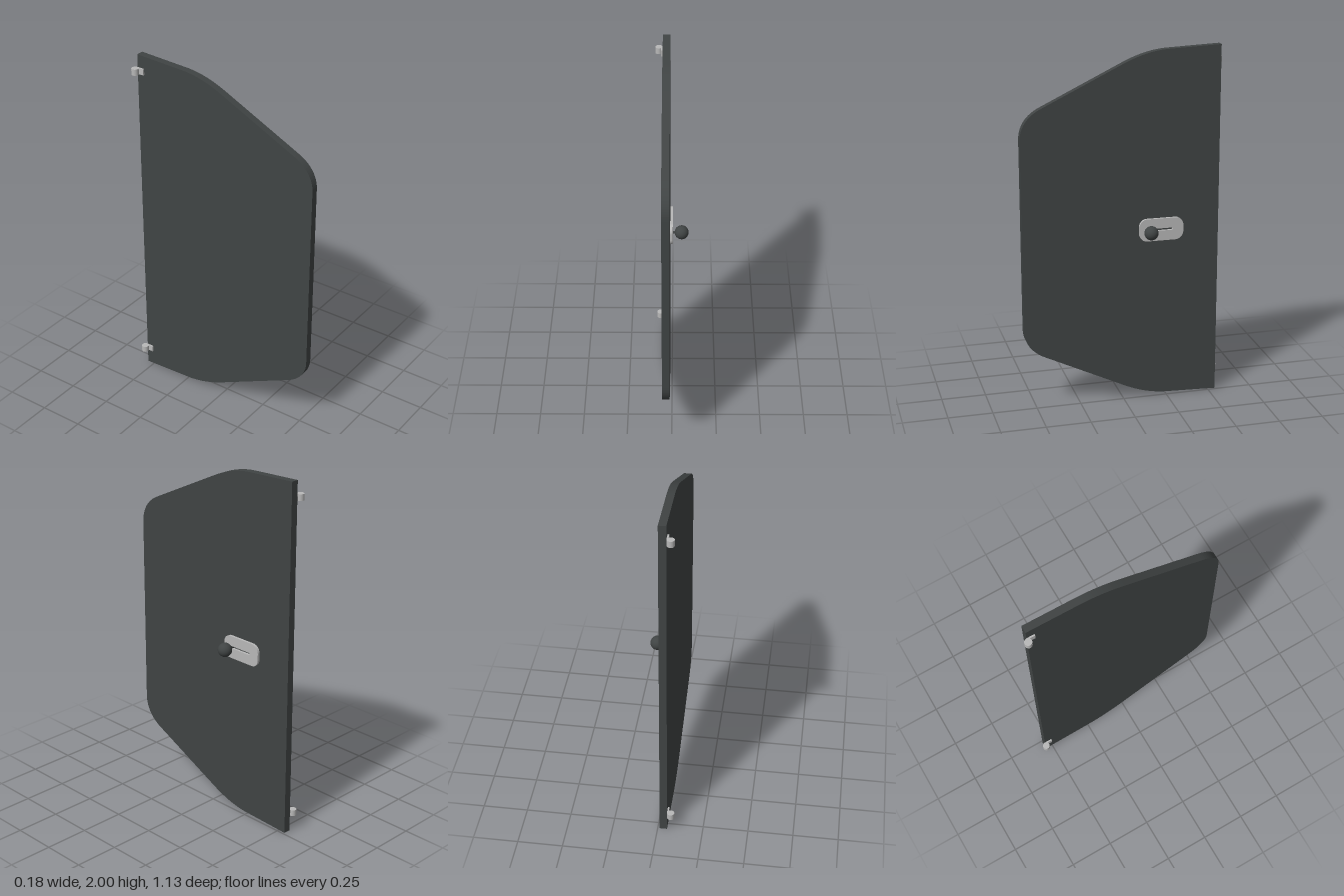
import * as THREE from 'three';

const paint = (name, color) => {
  const m = new THREE.MeshStandardMaterial({ color });
  m.name = name;
  return m;
};

// Extrudes a shape drawn in (-z, y) so that it grows along +x from x0.
function sideExtrude(name, shape, x0, depth, material) {
  const geo = new THREE.ExtrudeGeometry(shape, { depth, bevelEnabled: false, curveSegments: 16 });
  geo.rotateY(Math.PI / 2);
  geo.translate(x0, 0, 0);
  const mesh = new THREE.Mesh(geo, material);
  mesh.name = name;
  return mesh;
}

// Rounded rectangle path from (x0, y0) to (x1, y1).
function roundedRect(path, x0, y0, x1, y1, r) {
  path.absarc(x1 - r, y0 + r, r, -Math.PI / 2, 0);
  path.absarc(x1 - r, y1 - r, r, 0, Math.PI / 2);
  path.absarc(x0 + r, y1 - r, r, Math.PI / 2, Math.PI);
  path.absarc(x0 + r, y0 + r, r, Math.PI, Math.PI * 1.5);
  path.closePath();
  return path;
}

export function createModel() {
  const group = new THREE.Group();
  group.name = 'hatchDoor';
  const dark = paint('darkGrey', 0x404444);
  const metal = paint('lightMetal', 0xb8b8b8);

  // Door panel: straight hinge edge, tapered and rounded toward the front
  const door = new THREE.Shape();
  door.moveTo(0.543, 0);
  door.lineTo(0.543, 2);
  door.lineTo(0.25, 1.988);
  door.quadraticCurveTo(0.13, 1.983, 0, 1.92);
  door.lineTo(-0.45, 1.702);
  door.bezierCurveTo(-0.52, 1.668, -0.563, 1.61, -0.563, 1.535);
  door.lineTo(-0.563, 0.465);
  door.bezierCurveTo(-0.563, 0.39, -0.52, 0.332, -0.45, 0.298);
  door.lineTo(0, 0.08);
  door.quadraticCurveTo(0.13, 0.017, 0.25, 0.012);
  door.closePath();
  group.add(sideExtrude('doorPanel', door, -0.052, 0.041, dark));

  // Latch plate with its slot
  const plate = roundedRect(new THREE.Shape(), 0.088, 0.928, 0.338, 1.055, 0.045);
  plate.holes.push(roundedRect(new THREE.Path(), 0.13, 0.985, 0.278, 0.998, 0.006));
  group.add(sideExtrude('latchPlate', plate, -0.011, 0.014, metal));

  // Knob on a short stem
  const stem = new THREE.Mesh(new THREE.CylinderGeometry(0.008, 0.008, 0.04, 16), dark);
  stem.name = 'knobStem';
  stem.rotation.z = Math.PI / 2;
  stem.position.set(0.005, 0.991, -0.142);
  const knob = new THREE.Mesh(new THREE.SphereGeometry(0.039, 32, 20), dark);
  knob.name = 'knob';
  knob.position.set(0.052, 0.991, -0.142);
  group.add(stem, knob);

  // Hinges: barrel and leaf, near the bottom and the top
  for (const [name, y] of [['lowerHinge', 0.11], ['upperHinge', 1.91]]) {
    const hinge = new THREE.Group();
    hinge.name = name;
    const barrel = new THREE.Mesh(new THREE.CylinderGeometry(0.02, 0.02, 0.035, 24), metal);
    barrel.name = 'hingeBarrel';
    barrel.position.set(-0.073, y, -0.545);
    const leaf = new THREE.Mesh(new THREE.BoxGeometry(0.009, 0.035, 0.045), metal);
    leaf.name = 'hingeLeaf';
    leaf.position.set(-0.0565, y, -0.5225);
    hinge.add(barrel, leaf);
    group.add(hinge);
  }
  return group;
}
